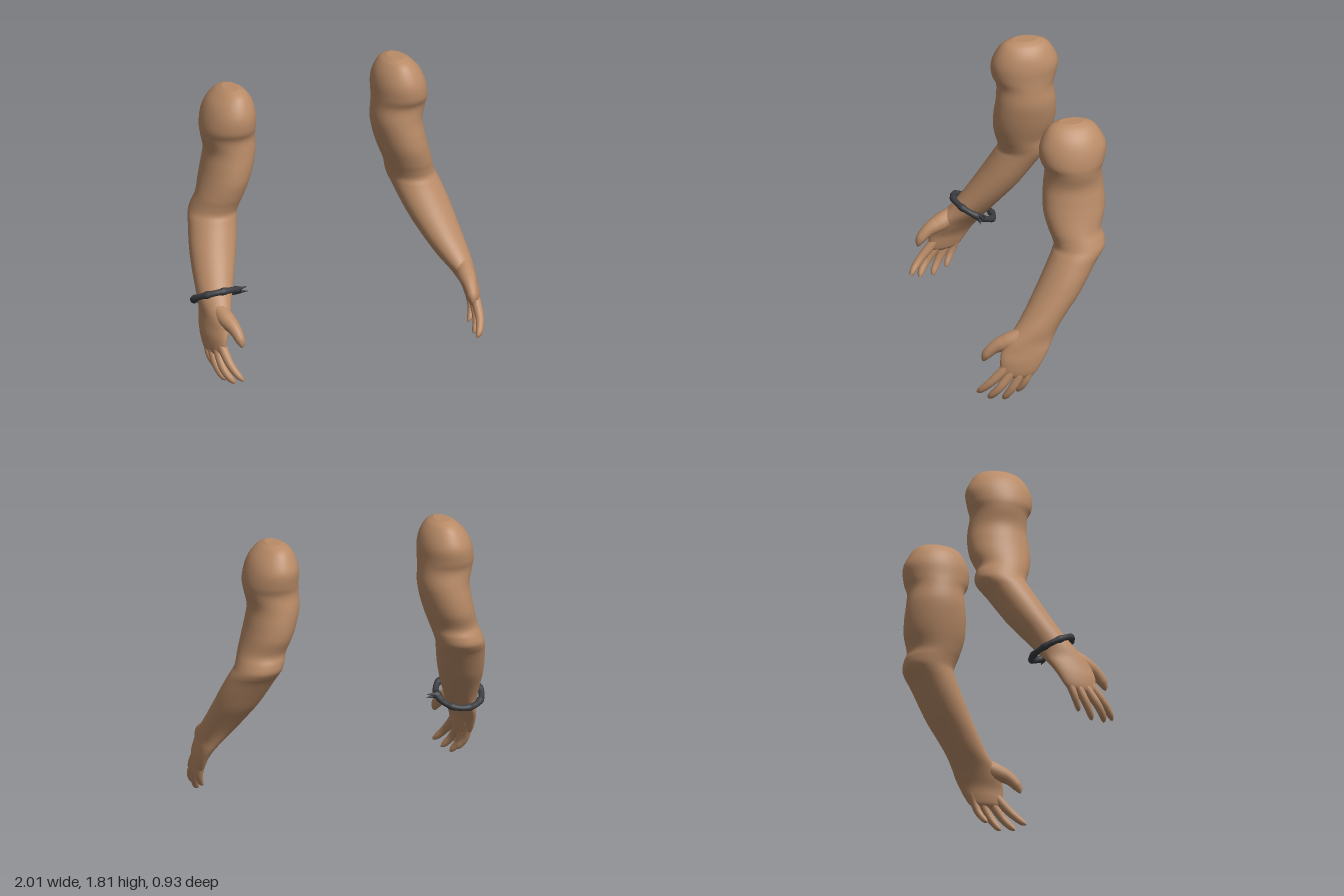
import * as THREE from 'three';

const skin = new THREE.MeshStandardMaterial({ color: 0xba8c68 });
skin.name = 'skin';
const darkMetal = new THREE.MeshStandardMaterial({ color: 0x3a3c40 });
darkMetal.name = 'darkMetal';

// Arm cross-sections from shoulder to knuckles: y, inner x, outer x, front z, back z, shear
const ARM = [
  [1.827, 0.565, 0.665, -0.16, -0.325, 0],
  [1.80, 0.52, 0.71, -0.10, -0.39, 0],
  [1.74, 0.48, 0.765, -0.055, -0.435, 0],
  [1.66, 0.46, 0.80, -0.025, -0.467, 0],
  [1.57, 0.458, 0.817, -0.03, -0.455, 0],
  [1.50, 0.455, 0.81, -0.06, -0.435, 0],
  [1.40, 0.453, 0.787, -0.055, -0.447, 0],
  [1.30, 0.473, 0.80, -0.045, -0.455, 0],
  [1.20, 0.503, 0.822, -0.045, -0.448, 0],
  [1.10, 0.54, 0.85, -0.067, -0.415, 0],
  [1.04, 0.558, 0.87, -0.087, -0.43, 0],
  [0.99, 0.573, 0.888, -0.097, -0.433, 0],
  [0.95, 0.585, 0.905, -0.08, -0.41, 0],
  [0.90, 0.60, 0.92, -0.055, -0.37, 0],
  [0.80, 0.632, 0.945, 0.0, -0.305, 0],
  [0.70, 0.672, 0.962, 0.06, -0.24, 0],
  [0.60, 0.72, 0.975, 0.125, -0.16, 0],
  [0.50, 0.775, 0.985, 0.20, -0.085, 0],
  [0.42, 0.83, 0.985, 0.275, -0.035, -0.01],
  [0.36, 0.865, 0.99, 0.305, 0.0, -0.02],
  [0.30, 0.895, 0.995, 0.318, 0.038, -0.02],
  [0.24, 0.91, 0.993, 0.318, 0.075, -0.02],
  [0.20, 0.922, 0.985, 0.308, 0.105, -0.018],
  [0.18, 0.94, 0.97, 0.28, 0.14, -0.015],
];

// Fingers and thumb: path points (x, y, z) with radius
const DIGITS = {
  indexFinger: [[0.935, 0.28, 0.26, 0.03], [0.93, 0.21, 0.318, 0.031], [0.915, 0.14, 0.385, 0.027], [0.885, 0.085, 0.435, 0.022], [0.86, 0.058, 0.458, 0.013]],
  middleFinger: [[0.945, 0.27, 0.22, 0.03], [0.95, 0.19, 0.27, 0.03], [0.945, 0.11, 0.33, 0.027], [0.915, 0.05, 0.375, 0.022], [0.888, 0.022, 0.39, 0.013]],
  ringFinger: [[0.955, 0.26, 0.17, 0.03], [0.962, 0.18, 0.205, 0.029], [0.955, 0.10, 0.25, 0.026], [0.93, 0.04, 0.285, 0.021], [0.91, 0.016, 0.298, 0.013]],
  littleFinger: [[0.955, 0.27, 0.115, 0.03], [0.965, 0.2, 0.14, 0.027], [0.96, 0.14, 0.165, 0.024], [0.935, 0.085, 0.195, 0.019], [0.915, 0.062, 0.207, 0.011]],
  thumb: [[0.905, 0.47, 0.14, 0.05], [0.885, 0.415, 0.25, 0.058], [0.868, 0.375, 0.34, 0.043], [0.857, 0.32, 0.395, 0.032], [0.85, 0.272, 0.415, 0.017]],
};

// Smooth interpolation through rows of numbers
function sampleRows(rows, steps) {
  const out = [];
  for (let k = 0; k <= steps; k++) {
    const u = (k / steps) * (rows.length - 1);
    const i = Math.min(Math.floor(u), rows.length - 2);
    const t = u - i;
    const at = (n) => rows[THREE.MathUtils.clamp(n, 0, rows.length - 1)];
    out.push(rows[i].map((b, c) => {
      const a = at(i - 1)[c], d = at(i + 1)[c], e = at(i + 2)[c];
      return b + 0.5 * t * (d - a + t * (2 * a - 5 * b + 4 * d - e + t * (3 * (b - d) + e - a)));
    }));
  }
  return out;
}

// Closed skin over a list of rings, with capped ends
function loft(rings) {
  const n = rings[0].length;
  const pos = [], index = [];
  rings.forEach((r) => r.forEach((p) => pos.push(p.x, p.y, p.z)));
  for (let i = 0; i < rings.length - 1; i++) {
    for (let j = 0; j < n; j++) {
      const a = i * n + j, b = i * n + (j + 1) % n;
      index.push(a, b, a + n, b, b + n, a + n);
    }
  }
  [0, rings.length - 1].forEach((i, end) => {
    const base = pos.length / 3;
    const c = new THREE.Vector3();
    rings[i].forEach((p) => { c.add(p); pos.push(p.x, p.y, p.z); });
    c.divideScalar(n);
    pos.push(c.x, c.y, c.z);
    for (let j = 0; j < n; j++) {
      const a = base + j, b = base + (j + 1) % n;
      if (end) index.push(a, b, base + n);
      else index.push(b, a, base + n);
    }
  });
  const geo = new THREE.BufferGeometry();
  geo.setAttribute('position', new THREE.Float32BufferAttribute(pos, 3));
  geo.setIndex(index);
  geo.computeVertexNormals();
  return geo;
}

// Round tube along a path, with radius given by a function of 0..1
function taperedTube(points, radius, steps, sides) {
  const curve = new THREE.CatmullRomCurve3(points);
  const frames = curve.computeFrenetFrames(steps);
  const rings = [];
  for (let i = 0; i <= steps; i++) {
    const c = curve.getPointAt(i / steps), r = radius(curve.getUtoTmapping(i / steps));
    rings.push(Array.from({ length: sides }, (_, j) => {
      const a = (j / sides) * Math.PI * 2;
      return c.clone().addScaledVector(frames.normals[i], r * Math.cos(a)).addScaledVector(frames.binormals[i], r * Math.sin(a));
    }));
  }
  return loft(rings);
}

function armGeometry() {
  return loft(sampleRows(ARM, 115).map(([y, x0, x1, zf, zb, shear]) =>
    Array.from({ length: 48 }, (_, j) => {
      const a = (j / 48) * Math.PI * 2, s = Math.sin(a);
      return new THREE.Vector3((x0 + x1) / 2 + (x1 - x0) / 2 * Math.cos(a) + shear * s, y, (zf + zb) / 2 + (zf - zb) / 2 * s);
    })));
}

function digitGeometry(rows) {
  const radius = (t) => {
    const r = sampleRows(rows.map((p) => [p[3]]), 40)[Math.round(t * 40)][0];
    return r * Math.sqrt(Math.max(0.02, 1 - Math.pow(t, 14)));
  };
  return taperedTube(rows.map((p) => new THREE.Vector3(p[0], p[1], p[2])), radius, 28, 14);
}

// Mirror to the other side, keeping faces outward
function mirrored(geo) {
  const g = geo.clone(), p = g.attributes.position, ix = g.index;
  for (let i = 0; i < p.count; i++) p.setX(i, 0.03 - p.getX(i));
  for (let i = 0; i < ix.count; i += 3) {
    const a = ix.getX(i);
    ix.setX(i, ix.getX(i + 1));
    ix.setX(i + 1, a);
  }
  g.computeVertexNormals();
  return g;
}

function mesh(geo, material, name) {
  const m = new THREE.Mesh(geo, material);
  m.name = name;
  return m;
}

// Ribbed ring with an open-jawed animal head at one end
function createBracelet() {
  const g = new THREE.Group();
  g.name = 'bracelet';
  const R = 0.147;
  const points = Array.from({ length: 33 }, (_, i) => {
    const a = 0.12 + (i / 32) * (Math.PI * 2 - 0.3);
    return new THREE.Vector3(R * 1.04 * Math.cos(a), 0, R * Math.sin(a));
  });
  const ribs = (t) => 0.02 + 0.005 * Math.pow(Math.abs(Math.cos(t * Math.PI * 8)), 6);
  g.add(mesh(taperedTube(points, ribs, 128, 12), darkMetal, 'ring'));
  const head = new THREE.Group();
  head.name = 'braceletHead';
  const skull = mesh(new THREE.SphereGeometry(0.026, 16, 12), darkMetal, 'skull');
  skull.scale.set(1.3, 0.9, 1);
  head.add(skull);
  for (const s of [-1, 1]) {
    const jaw = mesh(new THREE.ConeGeometry(0.016, 0.075, 10), darkMetal, 'jaw');
    jaw.rotation.z = -Math.PI / 2 + s * 0.12;
    jaw.position.set(0.045, s * 0.012, 0);
    head.add(jaw);
  }
  head.position.set(R + 0.005, 0, 0);
  g.add(head);
  g.position.set(-0.83, 0.512, 0.04);
  g.rotation.x = -0.5;
  return g;
}

export function createModel() {
  const model = new THREE.Group();
  const parts = { arm: armGeometry() };
  for (const [name, rows] of Object.entries(DIGITS)) parts[name] = digitGeometry(rows);
  for (const side of ['left', 'right']) {
    const group = new THREE.Group();
    group.name = side + 'Arm';
    for (const [name, geo] of Object.entries(parts)) {
      group.add(mesh(side === 'left' ? geo : mirrored(geo), skin, name));
    }
    model.add(group);
  }
  model.add(createBracelet());
  return model;
}
